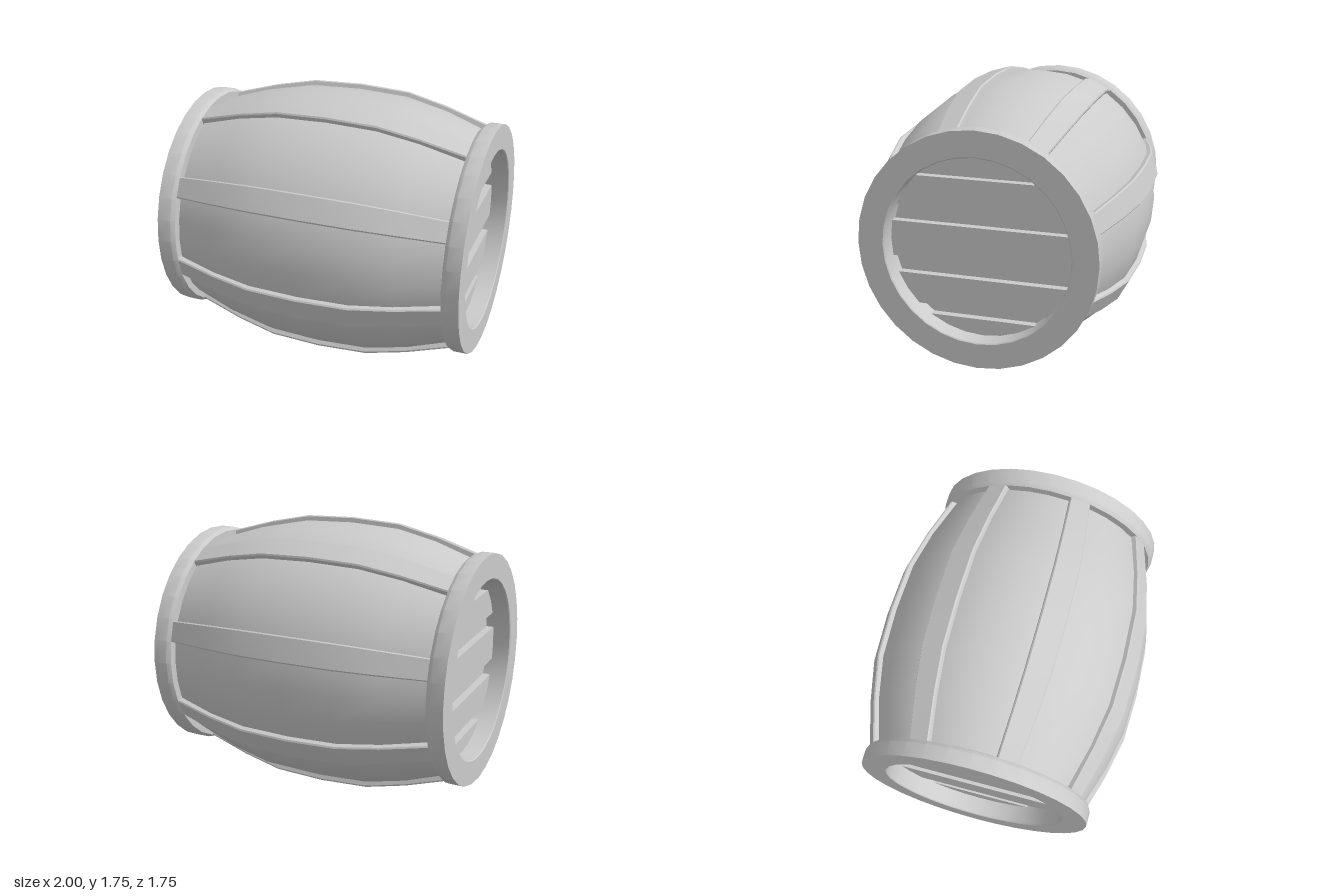
import * as THREE from 'three';
import { toCreasedNormals } from 'three/addons/utils/BufferGeometryUtils.js';

const SEGMENTS = 32, AXIS_Y = 0.875, HOLE = 0.585;
const material = new THREE.MeshStandardMaterial({ color: 0xcccccc });

function part(name, geometry, crease = 0.6) {
  const mesh = new THREE.Mesh(toCreasedNormals(geometry, crease), material);
  mesh.name = name;
  return mesh;
}

// Turned shape around the x axis, from [x, radius] pairs
function turned(pairs) {
  const points = pairs.map(([x, r]) => new THREE.Vector2(r, x));
  return new THREE.LatheGeometry(points, SEGMENTS).rotateZ(-Math.PI / 2);
}

// Raised stave: a bevelled section scaled with the bulge of the barrel
function staveGeometry() {
  const stations = [[-0.9, 0.725], [-0.6, 0.815], [-0.33, 0.875], [0, 0.889],
    [0.33, 0.875], [0.6, 0.815], [0.9, 0.725]];
  const half = [[0.078, -0.08], [0.084, -0.009], [0.076, 0]];
  const section = [...half.map(([u, v]) => [-u, v]), ...half.slice().reverse()];
  const n = section.length, position = [], index = [];
  stations.forEach(([x, r], i) => {
    for (const [u, v] of section) position.push(x, r + v, u * r / 0.889);
    if (i === 0) return;
    for (let j = 0; j < n; j++) {
      const k = (j + 1) % n, a = (i - 1) * n, b = i * n;
      index.push(a + j, a + k, b + k, a + j, b + k, b + j);
    }
  });
  const geometry = new THREE.BufferGeometry();
  geometry.setAttribute('position', new THREE.Float32BufferAttribute(position, 3));
  geometry.setIndex(index);
  return geometry;
}

// Plank of the barrel head: a slice of a disc between two heights
function plankGeometry(low, high) {
  const R = HOLE + 0.003, a = Math.asin(low / R), b = Math.asin(high / R);
  const shape = new THREE.Shape();
  shape.absarc(0, 0, R, a, b, false);
  shape.absarc(0, 0, R, Math.PI - b, Math.PI - a, false);
  return new THREE.ExtrudeGeometry(shape, { depth: 0.05, bevelEnabled: false, curveSegments: 10 })
    .rotateY(Math.PI / 2).translate(0.83, 0, 0);
}

// One end of the barrel: rim, recessed back board and planks
function createEnd(name) {
  const end = new THREE.Group();
  end.name = name;
  end.add(part('rim', turned([
    [0.83, HOLE], [0.83, 0.61], [0.885, 0.61], [0.885, 0.733], [0.91, 0.75],
    [1, 0.75], [1, HOLE + 0.006], [0.994, HOLE], [0.83, HOLE],
  ])));
  end.add(part('backBoard', turned([[0.832, 0.6], [0.832, 0]])));
  const planks = [[-0.587, -0.48], [-0.415, -0.22], [-0.115, 0.115], [0.225, 0.415], [0.485, 0.587]];
  for (const [low, high] of planks) end.add(part('headPlank', plankGeometry(low, high)));
  return end;
}

export function createModel() {
  const barrel = new THREE.Group();
  barrel.name = 'barrel';

  // Bulging body
  barrel.add(part('body', turned([
    [-0.875, 0.6], [-0.875, 0.695], [-0.6, 0.785], [-0.33, 0.843], [0, 0.857],
    [0.33, 0.843], [0.6, 0.785], [0.875, 0.695], [0.875, 0.6],
  ])));

  // Eight raised staves around the body
  for (let i = 0; i < 8; i++) {
    const stave = part('stave', staveGeometry(), 0.5);
    stave.rotation.x = THREE.MathUtils.degToRad(16.5 + 45 * i);
    barrel.add(stave);
  }

  // Matching ends
  const left = createEnd('leftEnd'), right = createEnd('rightEnd');
  right.rotation.y = Math.PI;
  barrel.add(left, right);

  barrel.position.y = AXIS_Y;
  const model = new THREE.Group();
  model.add(barrel);
  return model;
}
